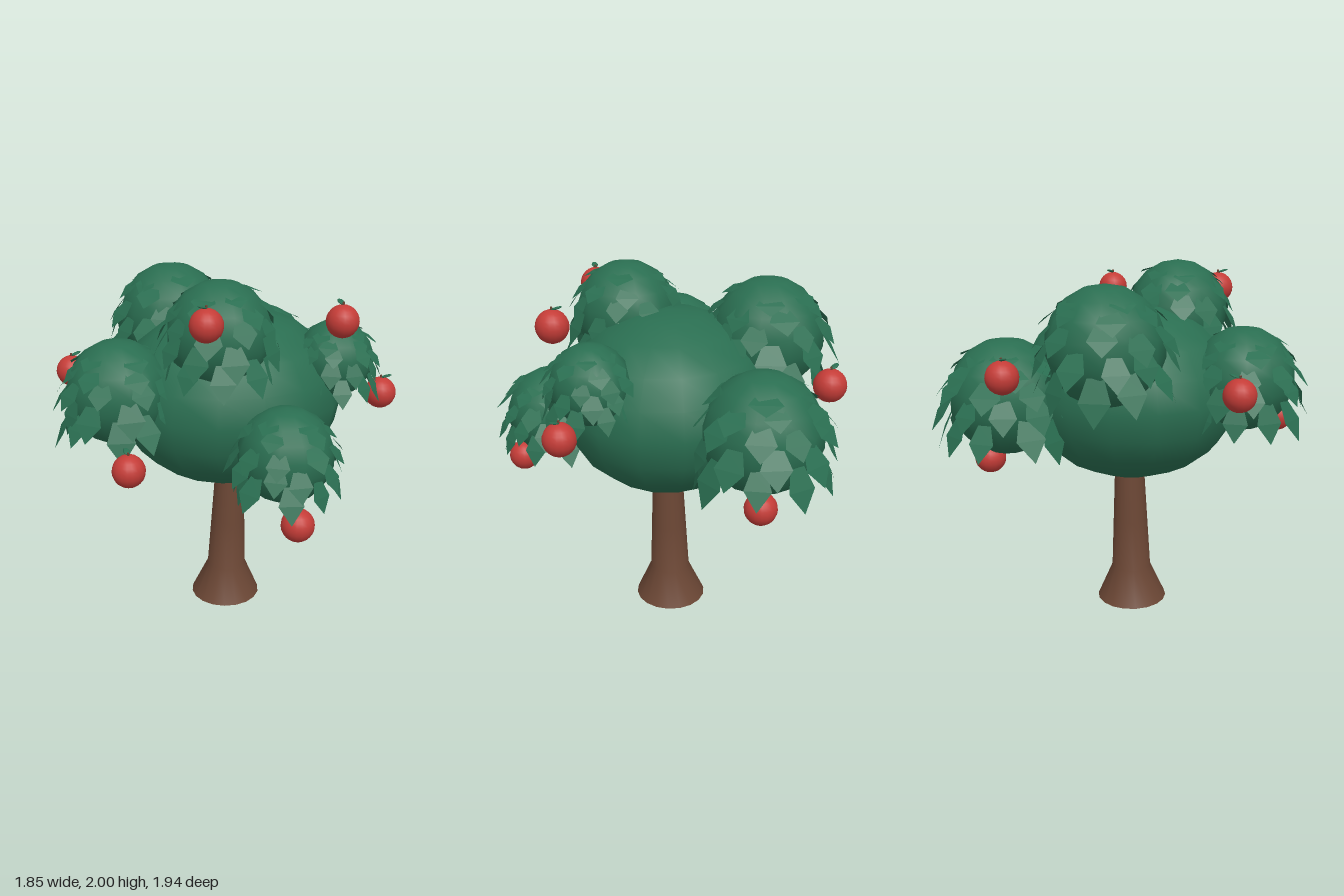
import * as THREE from 'three';
import { mergeGeometries } from 'three/addons/utils/BufferGeometryUtils.js';

const green = new THREE.MeshStandardMaterial({ name: 'leafGreen', color: 0x2a6e51, side: THREE.DoubleSide });
const brown = new THREE.MeshStandardMaterial({ name: 'barkBrown', color: 0x6c4735 });
const red = new THREE.MeshStandardMaterial({ name: 'fruitRed', color: 0xc43c37 });

// Small seeded random for natural variation
let seed = 7;
const rand = () => (seed = (seed * 16807) % 2147483647) / 2147483647;
const vary = (a) => (rand() - 0.5) * 2 * a;

function add(parent, name, geometry, material, pos = [0, 0, 0]) {
  const mesh = new THREE.Mesh(geometry, material);
  mesh.name = name;
  mesh.position.set(...pos);
  parent.add(mesh);
  return mesh;
}

// Pointed leaf: hangs from its origin along -y, faces +z, creased at the middle
function leafGeometry(w, l) {
  const a = [-0.26 * w, 0, 0], b = [0.26 * w, 0, 0];
  const c = [0.5 * w, -0.5 * l, 0], d = [-0.5 * w, -0.5 * l, 0];
  const tip = [0, -l, -0.06 * l];
  const g = new THREE.BufferGeometry();
  const points = [a, d, c, a, c, b, d, tip, c].flat();
  g.setAttribute('position', new THREE.Float32BufferAttribute(points, 3));
  g.computeVertexNormals();
  return g;
}

// Rows of leaves: polar angle, count, outward flare (degrees), length
const rows = [
  [30, 5, 4, 0.4], [47, 7, 10, 0.48], [66, 9, 16, 0.54], [86, 10, 26, 0.62], [106, 10, 43, 0.72],
];

function leafRows(r) {
  const leaves = [];
  const rad = THREE.MathUtils.degToRad;
  rows.forEach(([polar, count, flare, length], row) => {
    for (let i = 0; i < count; i++) {
      const t = rad(polar + vary(5));
      const p = ((i + (row % 2) * 0.5 + vary(0.2)) / count) * Math.PI * 2;
      const f = rad(flare + vary(7));
      const n = new THREE.Vector3(Math.sin(t) * Math.cos(p), Math.cos(t), Math.sin(t) * Math.sin(p));
      const down = new THREE.Vector3(Math.cos(t) * Math.cos(p), -Math.sin(t), Math.cos(t) * Math.sin(p));
      const up = down.clone().multiplyScalar(-Math.cos(f)).addScaledVector(n, -Math.sin(f));
      const out = n.clone().multiplyScalar(Math.cos(f)).addScaledVector(down, -Math.sin(f));
      const side = new THREE.Vector3().crossVectors(up, out);
      const m = new THREE.Matrix4().makeBasis(side, up, out).setPosition(n.multiplyScalar(r * 0.96));
      const size = r * (1 + vary(0.12));
      leaves.push(leafGeometry(0.48 * size, length * size).applyMatrix4(m));
    }
  });
  return mergeGeometries(leaves);
}

export function createModel() {
  const tree = new THREE.Group();
  tree.name = 'fruitTree';

  // Trunk with flared foot, leaning slightly towards +x
  const profile = [[0, 0], [0.204, 0], [0.204, 0], [0.114, 0.2], [0.1, 0.5], [0.086, 0.8], [0.08, 0.95]];
  const trunk = new THREE.LatheGeometry(profile.map(([x, y]) => new THREE.Vector2(x, y)), 18);
  const pos = trunk.attributes.position;
  for (let i = 0; i < pos.count; i++) {
    const y = pos.getY(i);
    pos.setX(i, pos.getX(i) + 0.074 + 0.026 * y);
    pos.setZ(i, pos.getZ(i) - 0.003 + 0.015 * y);
  }
  add(tree, 'trunk', trunk, brown);

  // Short side branch disappearing into the crown
  const branch = add(tree, 'branch', new THREE.CylinderGeometry(0.03, 0.035, 0.26, 8), brown, [0.22, 0.86, 0.05]);
  branch.quaternion.setFromUnitVectors(new THREE.Vector3(0, 1, 0), new THREE.Vector3(0.55, 0.8, 0.1).normalize());

  // Main crown
  const crown = add(tree, 'crown', new THREE.SphereGeometry(1, 16, 10), green, [0.09, 1.29, 0]);
  crown.scale.set(0.64, 0.5, 0.585);

  // Leafy clumps: x, y, z, radius
  const clumps = [
    [-0.565, 1.41, 0.12, 0.28], [-0.06, 1.72, 0.28, 0.28], [0.6, 1.53, 0.28, 0.21],
    [0.165, 1.175, 0.665, 0.25], [0.5, 1.315, -0.575, 0.315], [-0.1, 1.635, -0.5, 0.31],
  ];
  for (const [x, y, z, r] of clumps) {
    const clump = new THREE.Group();
    clump.name = 'leafClump';
    clump.position.set(x, y, z);
    add(clump, 'clumpBody', new THREE.SphereGeometry(r, 12, 9), green);
    add(clump, 'clumpLeaves', leafRows(r), green);
    tree.add(clump);
  }

  // Fruit with stem and a small leaf: x, y, z, turn
  const fruits = [
    [-0.2, 1.83, 0.5, 3.6], [0.53, 1.79, 0.49, 1.6], [0.85, 1.33, 0.36, 5.8], [-0.61, 1.12, 0.5, 1.6],
    [0.16, 0.87, 0.86, 2.5], [0.62, 0.95, -0.6, 0.9], [0.26, 1.5, -0.875, 2.6], [-0.745, 1.42, -0.28, 0.2],
  ];
  const fruitBody = new THREE.SphereGeometry(0.086, 18, 12);
  const stem = new THREE.CylinderGeometry(0.006, 0.006, 0.03, 6);
  const fruitLeaf = new THREE.SphereGeometry(1, 8, 6).scale(0.03, 0.006, 0.018);
  for (const [x, y, z, turn] of fruits) {
    const fruit = new THREE.Group();
    fruit.name = 'fruit';
    fruit.position.set(x, y, z);
    fruit.rotation.y = turn;
    add(fruit, 'fruitBody', fruitBody, red);
    add(fruit, 'fruitStem', stem, brown, [0, 0.085, 0]);
    add(fruit, 'fruitLeaf', fruitLeaf, green, [0.028, 0.095, 0]).rotation.z = 0.3;
    tree.add(fruit);
  }
  return tree;
}
